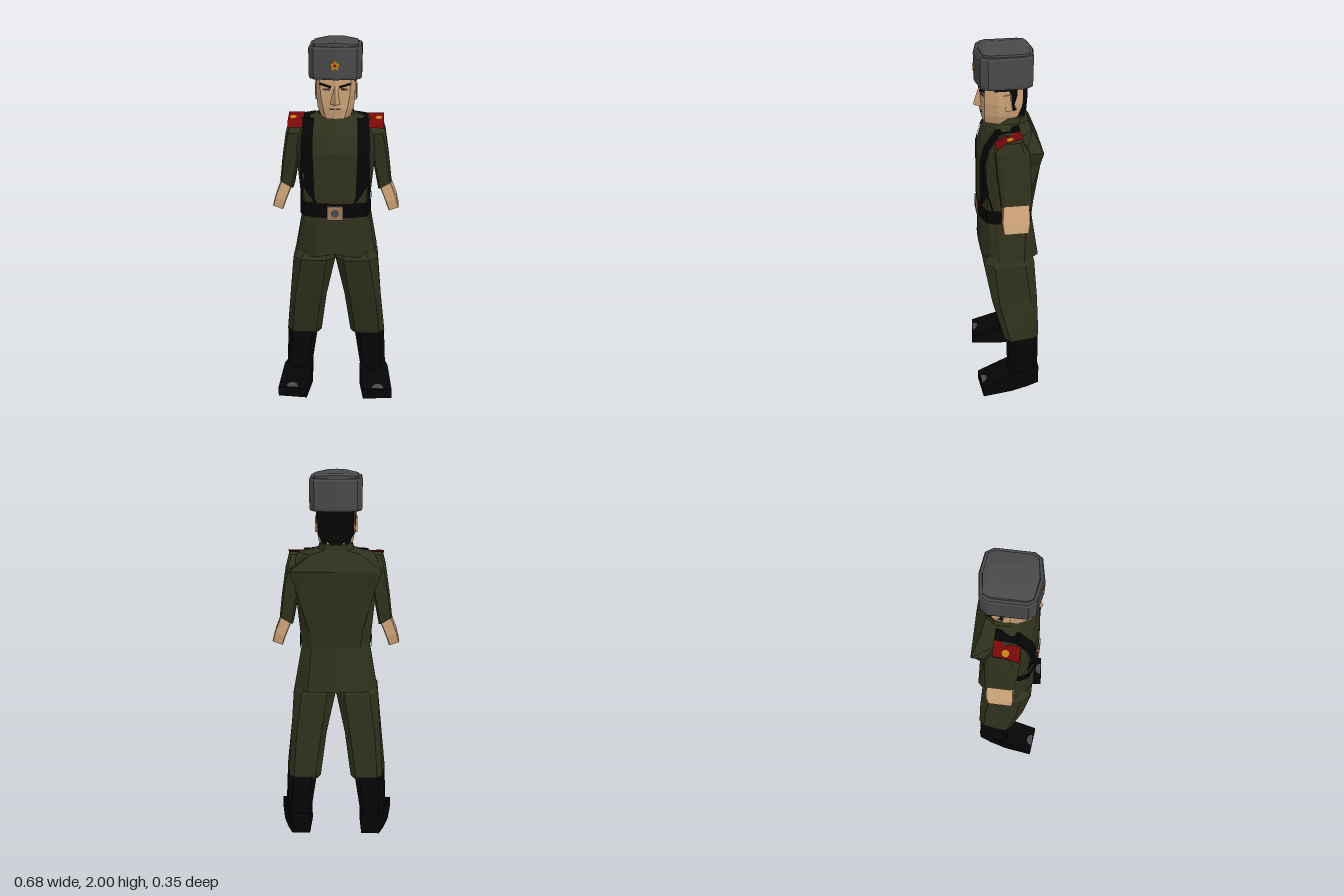
import * as THREE from 'three';

const mat = (name, color) => {
  const m = new THREE.MeshStandardMaterial({ color, side: THREE.DoubleSide });
  m.name = name;
  return m;
};

// Flat-shaded geometry from a list of triangle corners
function facets(tris) {
  const g = new THREE.BufferGeometry();
  g.setAttribute('position', new THREE.Float32BufferAttribute(tris.flat(), 3));
  g.computeVertexNormals();
  return g;
}

// Closed body through stacked rings, bottom to top; side -1 mirrors it in x
function loft(rings, side = 1) {
  const R = rings.map(r => {
    const q = r.map(([x, y, z]) => [x * side, y, z]);
    return side < 0 ? q.reverse() : q;
  });
  const n = R[0].length, t = [];
  for (let k = 0; k < R.length - 1; k++) {
    for (let i = 0; i < n; i++) {
      const j = (i + 1) % n;
      t.push(R[k][i], R[k][j], R[k + 1][j], R[k][i], R[k + 1][j], R[k + 1][i]);
    }
  }
  const mid = r => [0, 1, 2].map(a => r.reduce((s, p) => s + p[a], 0) / n);
  const lo = R[0], hi = R[R.length - 1], cl = mid(lo), ch = mid(hi);
  for (let i = 0; i < n; i++) {
    const j = (i + 1) % n;
    t.push(cl, lo[j], lo[i], ch, hi[i], hi[j]);
  }
  return facets(t);
}

// Thin strip between two edge lines a (left) and b (right)
function strip(a, b, side = 1) {
  if (side < 0) [a, b] = [b, a].map(e => e.map(([x, y, z]) => [-x, y, z]));
  const t = [];
  for (let i = 0; i < a.length - 1; i++) t.push(a[i], b[i], b[i + 1], a[i], b[i + 1], a[i + 1]);
  return facets(t);
}

// Symmetric ring from front centre to back centre; a point may carry its own height
function sym(y, half) {
  const p = half.map(([x, z, py]) => [x, py ?? y, z]);
  return [...p, ...p.slice(1, -1).reverse().map(([x, py, z]) => [-x, py, z])];
}

// Chamfered rectangular ring; drop lowers its inner edge, taper narrows the outer back
function oct(y, x0, x1, z0, z1, c = 0.3, drop = 0, taper = 0) {
  const cx = (x0 + x1) / 2, hx = (x1 - x0) / 2, cz = (z0 + z1) / 2, hz = (z1 - z0) / 2, d = 1 - c;
  return [[-d, 1], [d, 1], [1, d], [1, -d], [d, -1], [-d, -1], [-1, -d], [-1, d]]
    .map(([u, v]) => [cx + u * hx - (u > 0 && v < 0 ? taper : 0), y - drop * (1 - u) / 2, cz + v * hz]);
}

export function createModel() {
  const root = new THREE.Group();
  root.name = 'soldier';
  const olive = mat('olive cloth', 0x2f301c), black = mat('black leather', 0x050505);
  const skin = mat('skin', 0xcda378), grey = mat('grey fur', 0x49494a);
  const red = mat('red board', 0x780809), gold = mat('gold', 0xc08212);
  const tan = mat('buckle tan', 0x9c7a5a), brown = mat('face shadow brown', 0x4a3424);
  const add = (name, geo, m, pos = [0, 0, 0], rot = [0, 0, 0]) => {
    const mesh = new THREE.Mesh(geo, m);
    mesh.name = name;
    mesh.position.set(...pos);
    mesh.rotation.set(...rot);
    root.add(mesh);
  };

  // Jacket with flared skirt, flat chest and broad shoulder blades
  add('jacket', loft([
    sym(0.85, [[0, 0.145, 0.87], [0.11, 0.14], [0.18, 0.1], [0.215, 0.05], [0.226, -0.08], [0.15, -0.165], [0, -0.175]]),
    sym(1.09, [[0, 0.146], [0.1, 0.135], [0.16, 0.1], [0.18, 0.06], [0.183, -0.09], [0.13, -0.128], [0, -0.14]]),
    sym(1.18, [[0, 0.15], [0.1, 0.138], [0.165, 0.11], [0.185, 0.065], [0.19, -0.09], [0.14, -0.135], [0, -0.147]]),
    sym(1.43, [[0, 0.147], [0.11, 0.136], [0.18, 0.116], [0.21, 0.06], [0.215, -0.08], [0.21, -0.155], [0, -0.165]]),
    sym(1.51, [[0, 0.12], [0.11, 0.113], [0.18, 0.095], [0.21, 0.05], [0.235, -0.08], [0.24, -0.168], [0, -0.172]]),
    sym(1.59, [[0, 0.06], [0.1, 0.055], [0.165, 0.035], [0.185, 0], [0.2, -0.06], [0.13, -0.125], [0, -0.13]]),
    sym(1.61, [[0, 0.045], [0.07, 0.035], [0.09, 0.015], [0.095, 0], [0.095, -0.06], [0.06, -0.115], [0, -0.12]]),
    sym(1.64, [[0, 0.03, 1.6], [0.06, 0.02, 1.62], [0.08, 0.005, 1.63], [0.085, -0.01], [0.085, -0.07], [0.05, -0.11], [0, -0.115]]),
  ]), olive);

  // Belt round the front and sides, with buckle
  const half = [[0, 0.153], [0.1, 0.142], [0.166, 0.114], [0.188, 0.068], [0.191, -0.115]];
  const line = [...half.slice(1).reverse().map(([x, z]) => [-x, z]), ...half];
  add('belt', strip(line.map(([x, z]) => [x, 1.16, z]), line.map(([x, z]) => [x, 1.08, z])), black);
  add('buckle', new THREE.BoxGeometry(0.084, 0.076, 0.008), tan, [0, 1.107, 0.152]);
  add('buckleDisc', new THREE.CircleGeometry(0.022, 12), grey, [0, 1.107, 0.157]);

  for (const s of [1, -1]) {
    const side = s > 0 ? 'left' : 'right';

    // Shoulder strap, widening into the belt
    add(side + 'Strap', strip(
      [[0.085, 1.14, 0.146], [0.108, 1.19, 0.141], [0.116, 1.43, 0.14], [0.116, 1.51, 0.118], [0.112, 1.594, 0.06], [0.11, 1.612, -0.06]],
      [[0.186, 1.14, 0.075], [0.184, 1.26, 0.105], [0.178, 1.43, 0.123], [0.178, 1.51, 0.102], [0.17, 1.594, 0.042], [0.17, 1.602, -0.06]], s), black);

    // Sleeve and bare forearm
    add(side + 'Sleeve', loft([
      oct(1.25, 0.228, 0.298, -0.1, 0.05, 0.25, 0.04),
      oct(1.38, 0.195, 0.283, -0.1, 0.065, 0.25),
      oct(1.52, 0.165, 0.262, -0.095, 0.075),
      oct(1.578, 0.15, 0.247, -0.06, 0.025)], s), olive);
    add(side + 'Forearm', loft([
      oct(1.11, 0.285, 0.34, -0.08, 0.045, 0.15, 0.02),
      oct(1.16, 0.268, 0.328, -0.09, 0.05, 0.15, 0.02),
      oct(1.255, 0.234, 0.292, -0.09, 0.042, 0.15, 0.03)], s), skin);

    // Shoulder board sloping over the front of the shoulder
    const board = [[1.55, 0.07], [1.583, 0.025], [1.604, -0.06]];
    add(side + 'ShoulderBoard', strip(
      board.map(([y, z]) => [0.167, y, z]), board.map(([y, z]) => [0.252, y, z]), s), red);
    add(side + 'BoardBadge', new THREE.CircleGeometry(0.019, 8), gold, [s * 0.225, 1.592, 0.002], [-Math.PI / 2 + 0.24, 0, 0]);

    // Trouser leg
    add(side + 'TrouserLeg', loft([
      oct(0.325, 0.1, 0.262, -0.15, 0.005, 0.3, 0, 0.015),
      oct(0.35, 0.083, 0.277, -0.165, 0.03, 0.3, 0, 0.018),
      oct(0.6, 0.05, 0.252, -0.155, 0.095, 0.3, 0, 0.008),
      oct(0.83, 0, 0.23, -0.14, 0.135, 0.4),
      oct(0.89, 0.02, 0.19, -0.11, 0.1, 0.4)], s), olive);

    // Boot shaft and foot
    add(side + 'BootShaft', loft([
      oct(0.08, 0.145, 0.285, -0.16, 0.01, 0.3, 0, 0.015),
      oct(0.13, 0.138, 0.285, -0.16, 0.005, 0.3, 0, 0.015),
      oct(0.35, 0.105, 0.275, -0.16, 0.008, 0.3, 0, 0.015)], s), black);
    const foot = [[0.16, 0.178], [0.322, 0.162], [0.3, 0], [0.272, -0.1], [0.245, -0.168], [0.145, -0.165], [0.137, 0]];
    add(side + 'Foot', loft([
      foot.map(([x, z]) => [x, 0, z]),
      foot.map(([x, z]) => [x, z > 0.1 ? 0.055 : 0.12, z])], s), black);
    add(side + 'ToeShine', new THREE.CircleGeometry(0.034, 12, 0, Math.PI), grey, [s * 0.243, 0.063, 0.166], [-Math.PI / 2 + 0.365, 0, 0]);

    // Brow, eye, ear and sideburn
    add(side + 'Brow', new THREE.BoxGeometry(0.06, 0.01, 0.009), black, [s * 0.05, 1.78, 0.116], [0, s * 0.28, s * 0.25]);
    add(side + 'Eye', new THREE.BoxGeometry(0.034, 0.009, 0.009), brown, [s * 0.046, 1.76, 0.115], [0, s * 0.3, 0]);
    add(side + 'Ear', new THREE.BoxGeometry(0.01, 0.085, 0.034), skin, [s * 0.103, 1.73, -0.006], [0.15, s * -0.15, 0]);
    add(side + 'Sideburn', new THREE.BoxGeometry(0.007, 0.03, 0.07), black, [s * 0.1, 1.807, 0.025]);
  }

  // Neck and angular head
  add('neck', loft([oct(1.58, -0.065, 0.065, -0.1, 0.02), oct(1.69, -0.065, 0.065, -0.1, 0.025)]), skin);
  add('head', loft([
    sym(1.605, [[0, 0.112], [0.045, 0.104], [0.075, 0.04], [0.065, -0.03], [0, -0.04]]),
    sym(1.655, [[0, 0.124], [0.06, 0.108], [0.094, 0.04], [0.09, -0.06], [0, -0.08]]),
    sym(1.72, [[0, 0.127], [0.073, 0.107], [0.1, 0.045], [0.1, -0.08], [0, -0.1]]),
    sym(1.84, [[0, 0.128], [0.083, 0.108], [0.102, 0.045], [0.1, -0.08], [0, -0.1]]),
  ]), skin);
  add('nose', loft([
    [[0, 1.685, 0.154], [0.026, 1.685, 0.116], [-0.026, 1.685, 0.116]],
    [[0, 1.705, 0.154], [0.024, 1.705, 0.116], [-0.024, 1.705, 0.116]],
    [[0, 1.78, 0.129], [0.016, 1.78, 0.118], [-0.016, 1.78, 0.118]]]), skin);
  add('mouth', new THREE.BoxGeometry(0.055, 0.006, 0.009), brown, [0, 1.66, 0.119]);
  add('hair', loft([
    sym(1.64, [[0, -0.05], [0.072, -0.055], [0.06, -0.095], [0, -0.106]]),
    sym(1.69, [[0, -0.03], [0.1, -0.03], [0.088, -0.1], [0, -0.115]]),
    sym(1.77, [[0, -0.02], [0.105, -0.022], [0.092, -0.105], [0, -0.118]]),
    sym(1.84, [[0, -0.02], [0.105, 0.01], [0.092, -0.105], [0, -0.118]]),
  ]), black);

  // Fur hat: thick band and inset crown with a flat ridge
  const outline = [[0, 0.154], [0.11, 0.132], [0.136, 0.095], [0.136, -0.09], [0.11, -0.13], [0, -0.145]];
  const hatRing = (y, k) => sym(y, outline.map(([x, z]) => [x * k, z * k]));
  add('hatBand', loft([hatRing(1.812, 0.96), hatRing(1.825, 0.99), hatRing(1.965, 1), hatRing(1.975, 0.96)]), grey);
  add('hatCrown', loft([
    hatRing(1.95, 0.9),
    sym(1.985, [[0, 0.13, 1.992], [0.1, 0.114], [0.115, 0.085], [0.115, -0.08], [0.1, -0.114], [0, -0.125, 1.992]]),
    sym(2, [[0, 0.105], [0.04, 0.095], [0.05, 0.06], [0.05, -0.06], [0.04, -0.09], [0, -0.1]])]), grey);

  // Star badge
  const star = new THREE.Shape(Array.from({ length: 10 }, (_, i) => {
    const r = i % 2 ? 0.016 : 0.029, a = Math.PI / 2 + i * Math.PI / 5;
    return new THREE.Vector2(r * Math.cos(a), r * Math.sin(a));
  }));
  add('hatStar', new THREE.ExtrudeGeometry(star, { depth: 0.008, bevelEnabled: false }), gold, [0, 1.885, 0.147]);
  add('hatStarCentre', new THREE.CircleGeometry(0.008, 8), red, [0, 1.885, 0.156]);
  return root;
}
